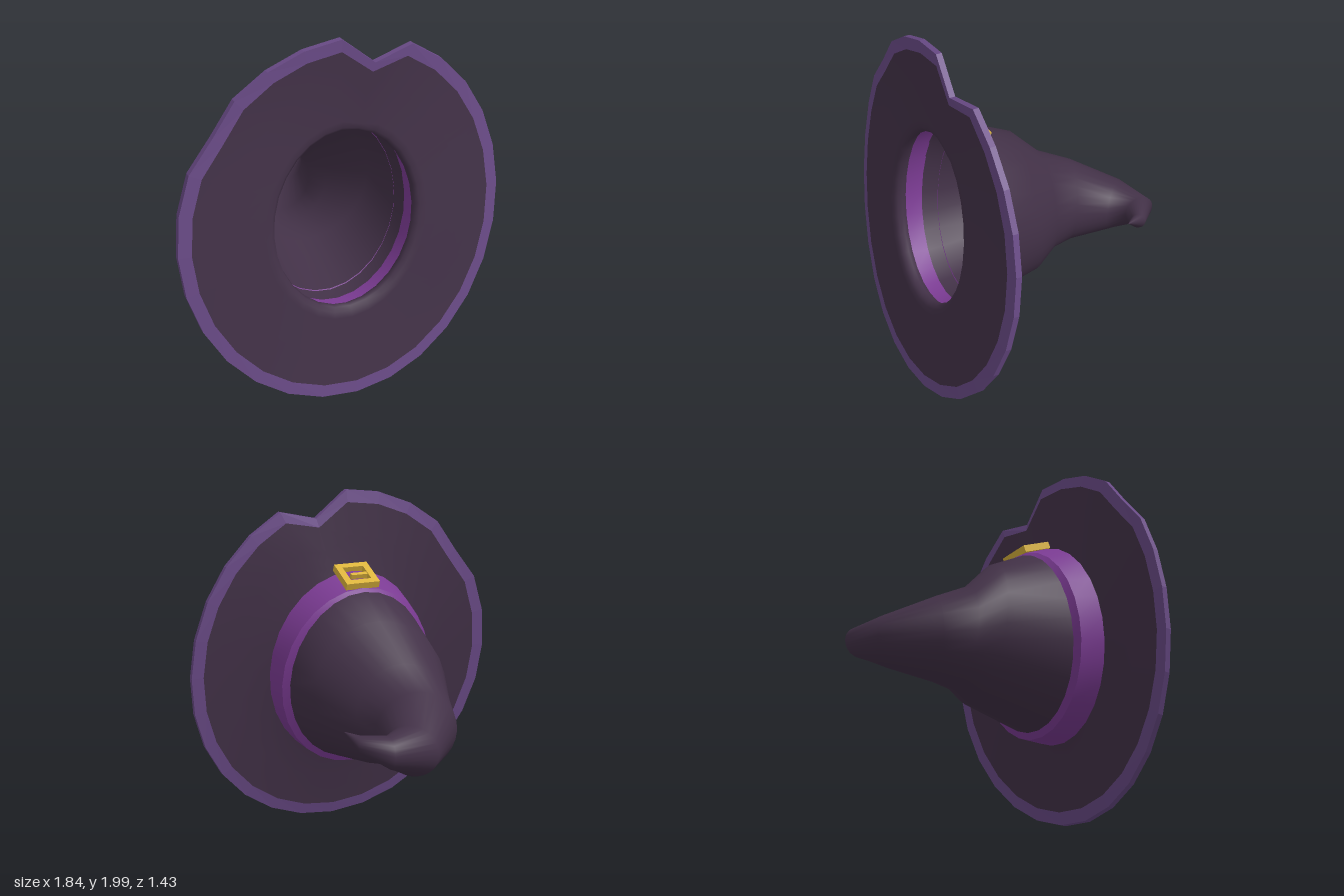
import * as THREE from 'three';

const N = 28; // segments around every ring

const felt = new THREE.MeshStandardMaterial({ color: 0x423147, side: THREE.DoubleSide });
felt.name = 'dark felt';
const trimMat = new THREE.MeshStandardMaterial({ color: 0x694a86 });
trimMat.name = 'muted purple trim';
const bandMat = new THREE.MeshStandardMaterial({ color: 0x7b3b93, side: THREE.DoubleSide });
bandMat.name = 'purple band';
const gold = new THREE.MeshStandardMaterial({ color: 0xdcb43c });
gold.name = 'gold';

// Skin a list of rings, each N points running counter-clockwise seen from +z
function loft(rings, flat = false) {
  const pos = rings.flat().flatMap((p) => [p.x, p.y, p.z]);
  const index = [];
  for (let i = 0; i < rings.length - 1; i++) {
    for (let j = 0; j < N; j++) {
      const k = (j + 1) % N;
      const a = i * N + j, b = a + N, c = (i + 1) * N + k, d = i * N + k;
      index.push(a, b, c, a, c, d);
    }
  }
  let g = new THREE.BufferGeometry();
  g.setAttribute('position', new THREE.Float32BufferAttribute(pos, 3));
  g.setIndex(index);
  if (flat) g = g.toNonIndexed();
  g.computeVertexNormals();
  return g;
}

// Skewed ellipse from its left [x,z], right [x,z], top [y,z] and bottom [y,z] points
function ring([lx, lz], [rx, rz], [ty, tz], [by, bz]) {
  return Array.from({ length: N }, (_, j) => {
    const a = (j / N) * Math.PI * 2, c = Math.cos(a) / 2, s = Math.sin(a) / 2;
    return new THREE.Vector3(
      (lx + rx) / 2 + c * (rx - lx),
      (ty + by) / 2 + s * (ty - by),
      (lz + rz) / 2 + c * (rz - lz) + s * (tz - bz));
  });
}

// Ring symmetric in x
const even = (w, z, top, bottom) => ring([-w, z], [w, z], top, bottom);

// Brim ring: t = 0 at the head opening, 1 at the ragged outer edge; depth goes back from the front face
function brimRing(t, depth) {
  const dents = { 6: 0.87, 11: 0.97 };
  return Array.from({ length: N }, (_, j) => {
    const a = (j / N) * Math.PI * 2, c = Math.cos(a), s = Math.sin(a);
    const k = dents[j] ?? 1;
    const x = c * THREE.MathUtils.lerp(0.4, 0.92 * k, t);
    const y = 1 + s * THREE.MathUtils.lerp(0.49, 0.997 * k, t);
    const curl = -0.035 * c * c + (s > 0 ? 0.05 : 0.02) * s * s;
    return new THREE.Vector3(x, y, 0.55 - 0.14 * (y - 1) + curl * t * t - depth);
  });
}

export function createModel() {
  const hat = new THREE.Group();
  hat.name = 'pointedHat';
  const add = (name, geometry, material) => {
    const m = new THREE.Mesh(geometry, material);
    m.name = name;
    hat.add(m);
    return m;
  };

  // Brim: front face rolling into the opening, and back face
  const edge = 0.867;
  add('brimFront', loft([
    brimRing(0.04, 0.075), brimRing(0.0, 0.045), brimRing(0.01, 0.02),
    brimRing(0.05, 0.004), brimRing(0.12, 0), brimRing(0.5, 0), brimRing(edge, 0),
  ]), felt);
  add('brimBack', loft([
    brimRing(edge, 0.045), brimRing(0.5, 0.055), brimRing(0.25, 0.07), brimRing(0.1, 0.085),
  ]), felt);

  // Trim wrapping around the outer edge
  add('brimTrim', loft([
    brimRing(edge, 0), brimRing(1, 0.004), brimRing(1, 0.036), brimRing(edge, 0.045),
  ], true), trimMat);

  // Crown: tapering and bending over to a hooked tip
  add('crown', loft([
    even(0.432, 0.38, [1.5, 0.33], [0.455, 0.49]),
    even(0.42, 0.28, [1.46, 0.235], [0.46, 0.4]),
    ring([-0.36, -0.1], [0.37, 0.05], [1.34, 0.02], [0.54, -0.03]),
    ring([-0.31, -0.25], [0.21, -0.14], [1.14, -0.18], [0.565, -0.2]),
    ring([-0.25, -0.43], [0.165, -0.28], [1.03, -0.36], [0.58, -0.32]),
    ring([-0.01, -0.68], [0.2, -0.46], [0.92, -0.6], [0.645, -0.6]),
    ring([0.26, -0.72], [0.25, -0.55], [0.905, -0.635], [0.73, -0.635]),
    ring([0.4, -0.585], [0.355, -0.515], [0.9, -0.55], [0.81, -0.55]),
    ring([0.426, -0.461], [0.422, -0.459], [0.902, -0.46], [0.898, -0.46]),
  ]), felt);

  // Band: outer face, rolled lip, and lining seen through the opening
  const lipStart = even(0.457, 0.3, [1.48, 0.245], [0.425, 0.415]);
  add('band', loft([even(0.47, 0.45, [1.55, 0.39], [0.425, 0.57]), lipStart]), bandMat);
  add('bandLip', loft([lipStart, even(0.418, 0.275, [1.45, 0.23], [0.465, 0.4])]), bandMat);
  add('bandLining', loft([
    even(0.43, 0.37, [1.5, 0.32], [0.46, 0.48]),
    even(0.435, 0.47, [1.53, 0.4], [0.46, 0.57]),
  ]), bandMat);

  // Buckle: square frame with a prong, leaning along the band
  const rect = (T, w, h) => new T([[-w, -h], [w, -h], [w, h], [-w, h]].map((p) => new THREE.Vector2(...p)));
  const frame = rect(THREE.Shape, 0.1, 0.097);
  frame.holes.push(rect(THREE.Path, 0.062, 0.06));
  const buckle = new THREE.Group();
  buckle.name = 'buckle';
  const frameMesh = new THREE.Mesh(
    new THREE.ExtrudeGeometry(frame, { depth: 0.04, bevelEnabled: false }).translate(0, 0, -0.02), gold);
  frameMesh.name = 'buckleFrame';
  const prong = new THREE.Mesh(new THREE.BoxGeometry(0.105, 0.022, 0.03), gold);
  prong.name = 'buckleProng';
  prong.position.x = -0.018;
  buckle.add(frameMesh, prong);
  buckle.position.set(0, 1.533, 0.3);
  buckle.rotation.x = THREE.MathUtils.degToRad(-114);
  hat.add(buckle);

  return hat;
}
